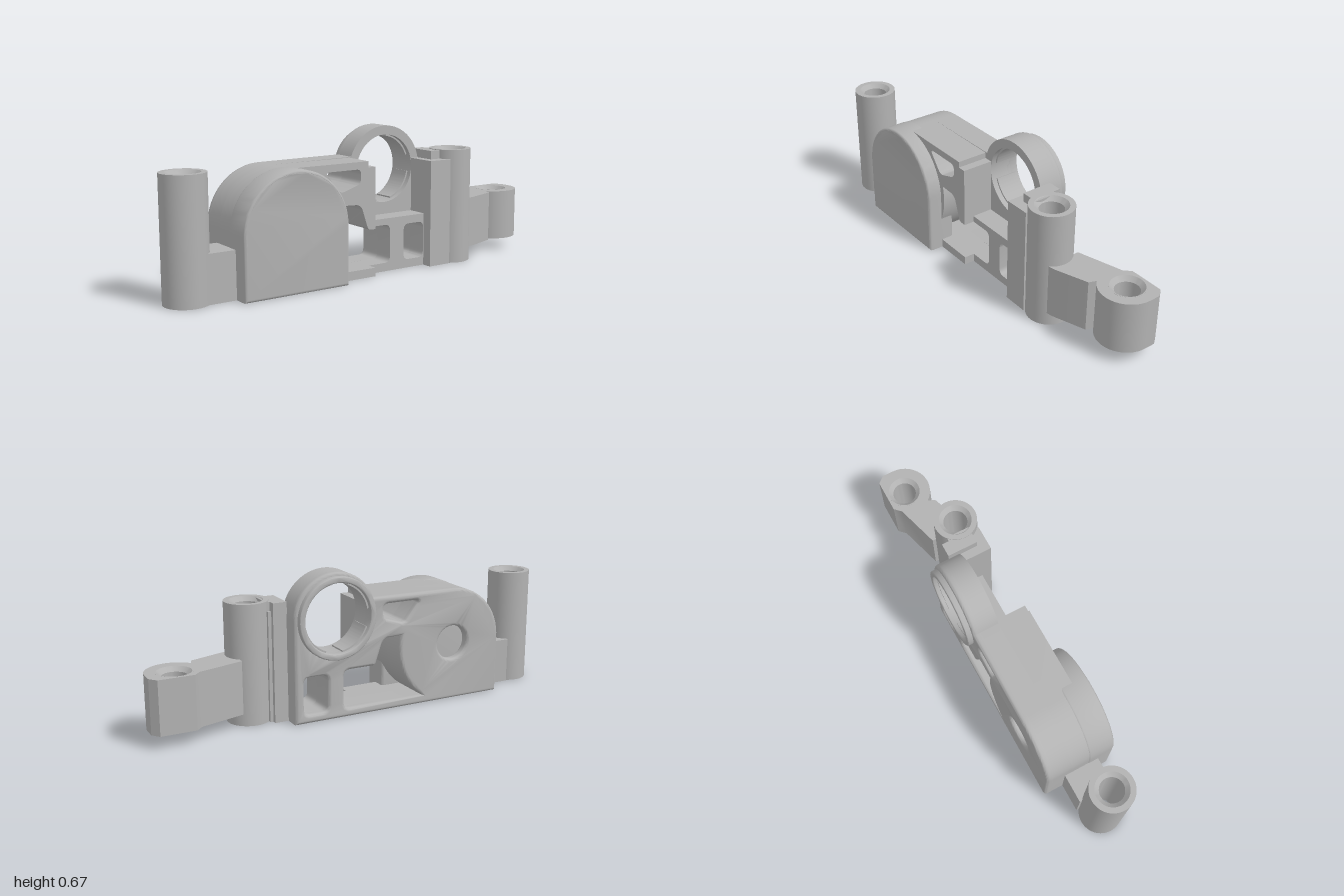
import * as THREE from 'three';
import { toCreasedNormals } from 'three/addons/utils/BufferGeometryUtils.js';

const metal = new THREE.MeshStandardMaterial({ color: 0xb2b2b2 });
metal.name = 'grey metal';

const CUP = [-0.45, 0.275], RING = [0.16, 0.467];

// points along an arc, angles in degrees
function arc([cx, cy], r, from, to, n = 24) {
  return Array.from({ length: n + 1 }, (_, i) => {
    const a = THREE.MathUtils.degToRad(from + (to - from) * i / n);
    return [cx + r * Math.cos(a), cy + r * Math.sin(a)];
  });
}
const circle = (c, r) => arc(c, r, 0, 352.5, 47);

// polygon to points; a third number on a corner rounds it
function outline(pts) {
  const out = [];
  pts.forEach(([x, y, r], i) => {
    const p = new THREE.Vector2(x, y);
    if (!r) return out.push(p);
    const near = (q) => new THREE.Vector2(q[0], q[1]).sub(p).setLength(r).add(p);
    const a = near(pts[(i + pts.length - 1) % pts.length]);
    const b = near(pts[(i + 1) % pts.length]);
    out.push(...new THREE.QuadraticBezierCurve(a, p, b).getPoints(6));
  });
  return out;
}

// slab between two z levels, with optional rounded rims
function slab(pts, holes, z0, z1, rim = 0) {
  const shape = new THREE.Shape(outline(pts));
  shape.holes = holes.map((h) => new THREE.Path(outline(h)));
  const geo = new THREE.ExtrudeGeometry(shape, {
    depth: z1 - z0 - 2 * rim, bevelEnabled: rim > 0, bevelThickness: rim,
    bevelSize: rim, bevelOffset: -rim, bevelSegments: 4, steps: 1,
  });
  geo.translate(0, 0, z0 + rim);
  return toCreasedNormals(geo, 0.6);
}

// upright tube with countersunk bore
function boss(r, y0, y1) {
  const bore = 0.055, sink = 0.075, c = 0.02;
  const profile = [[sink, y0], [r, y0], [r, y1], [sink, y1], [bore, y1 - c], [bore, y0 + c], [sink, y0]];
  const geo = new THREE.LatheGeometry(profile.map((p) => new THREE.Vector2(...p)), 48);
  return toCreasedNormals(geo, 0.5);
}

export function createModel() {
  const group = new THREE.Group();
  const add = (name, geo, x = 0, y = 0, z = 0) => {
    const mesh = new THREE.Mesh(geo, metal);
    mesh.name = name;
    mesh.position.set(x, y, z);
    group.add(mesh);
    return mesh;
  };
  const box = (name, x0, x1, y0, y1, z0, z1) =>
    add(name, new THREE.BoxGeometry(x1 - x0, y1 - y0, z1 - z0), (x0 + x1) / 2, (y0 + y1) / 2, (z0 + z1) / 2);

  // openings
  const cupSide = arc(CUP, 0.285, 14, -55);
  const lowerWindow = [[0.12, 0.04, 0.03], [0.12, 0.22, 0.03], [-0.04, 0.22, 0.015], [-0.08, 0.34, 0.03], ...cupSide];
  const upperWindow = [[-0.27, 0.5, 0.025], [-0.08, 0.5, 0.025], [-0.08, 0.435, 0.025], [-0.19, 0.4, 0.025]];
  const sideWindow = [[0.2, 0.04, 0.03], [0.317, 0.04, 0.03], [0.317, 0.212, 0.03], [0.2, 0.212, 0.03]];
  const cupBore = circle(CUP, 0.235), ringBore = circle(RING, 0.16);
  const cupTop = arc(CUP, 0.258, 90, 180);

  // back wall and the shell directly in front of it
  const back = [[-0.708, 0], [0.36, 0], ...arc(RING, 0.202, 0, 160, 40), ...cupTop];
  add('backWall', slab(back, [circle(CUP, 0.08), lowerWindow, upperWindow, sideWindow, ringBore], -0.16, -0.11, 0.016));
  add('rearShell', slab(back, [cupBore, lowerWindow, upperWindow, sideWindow, ringBore], -0.14, -0.035));

  // deep housing with top rail, bottom rail and inner post
  const housing = [[-0.708, 0], [0, 0], [0, 0.04], ...[...cupSide].reverse(),
    [-0.08, 0.34, 0.03], [-0.04, 0.22, 0.015], [0, 0.22], [0, 0.505], [-0.04, 0.505], [-0.04, 0.533], ...cupTop];
  add('housing', slab(housing, [cupBore, upperWindow], -0.035, 0.115));

  // front collar of the large cup
  const collar = [[-0.708, 0], [-0.19, 0], ...arc(CUP, 0.26, 0, 180, 40)];
  add('cupCollar', slab(collar, [cupBore], 0.05, 0.185, 0.014));

  // recessed frame under the ring
  const frame = [[0, 0], [0.32, 0], [0.32, 0.25], [0, 0.25], [0, 0.22],
    [0.12, 0.22, 0.03], [0.12, 0.04, 0.03], [0, 0.04]];
  add('lowerFrame', slab(frame, [sideWindow], -0.035, 0.065));

  // lip behind the small ring
  add('ringLip', slab(circle(RING, 0.187), [ringBore], -0.186, -0.12, 0.006));

  // liner segments inside both bores
  const liner = (name, c, r, z0, z1, starts, sweep) => starts.forEach((a) =>
    add(name, slab([...arc(c, r + 0.004, a, a + sweep), ...arc(c, r - 0.008, a + sweep, a)], [], z0, z1)));
  liner('cupLiner', CUP, 0.235, -0.115, 0.13, [15, 105, 195, 285], 65);
  liner('ringLiner', RING, 0.16, -0.165, -0.06, [20, 110, 200, 290], 60);

  // right-hand post beside the middle boss
  box('sidePost', 0.32, 0.44, 0, 0.505, -0.06, 0.115);
  box('postBacking', 0.36, 0.425, 0, 0.545, -0.08, 0.065);
  box('postBridge', 0.42, 0.445, 0, 0.545, -0.045, 0.08);

  // tall mounting bosses and the foot joining the outer one
  add('outerBoss', boss(0.1, 0, 0.548), -0.9, 0, 0.03);
  add('middleBoss', boss(0.1, 0, 0.548), 0.505, 0, 0.03);
  box('outerFoot', -0.842, -0.7, 0, 0.215, -0.063, 0.108);

  // angled arm with its end boss, drawn in plan and laid flat
  const END = [0.872, 0.072];
  const arm = [[0.57, -0.1], [0.61, -0.092], [0.76, -0.04], ...arc(END, 0.126, 218, 360),
    [0.998, 0.125], [0.97, 0.16], [0.81, 0.16], [0.78, 0.13], [0.57, 0.07]];
  const armMesh = add('sideArm', slab(arm, [circle(END, 0.075)], 0.062, 0.305));
  armMesh.rotation.x = -Math.PI / 2;
  add('armBoss', boss(0.08, 0.0615, 0.3055), END[0], 0, -END[1]);

  return group;
}
